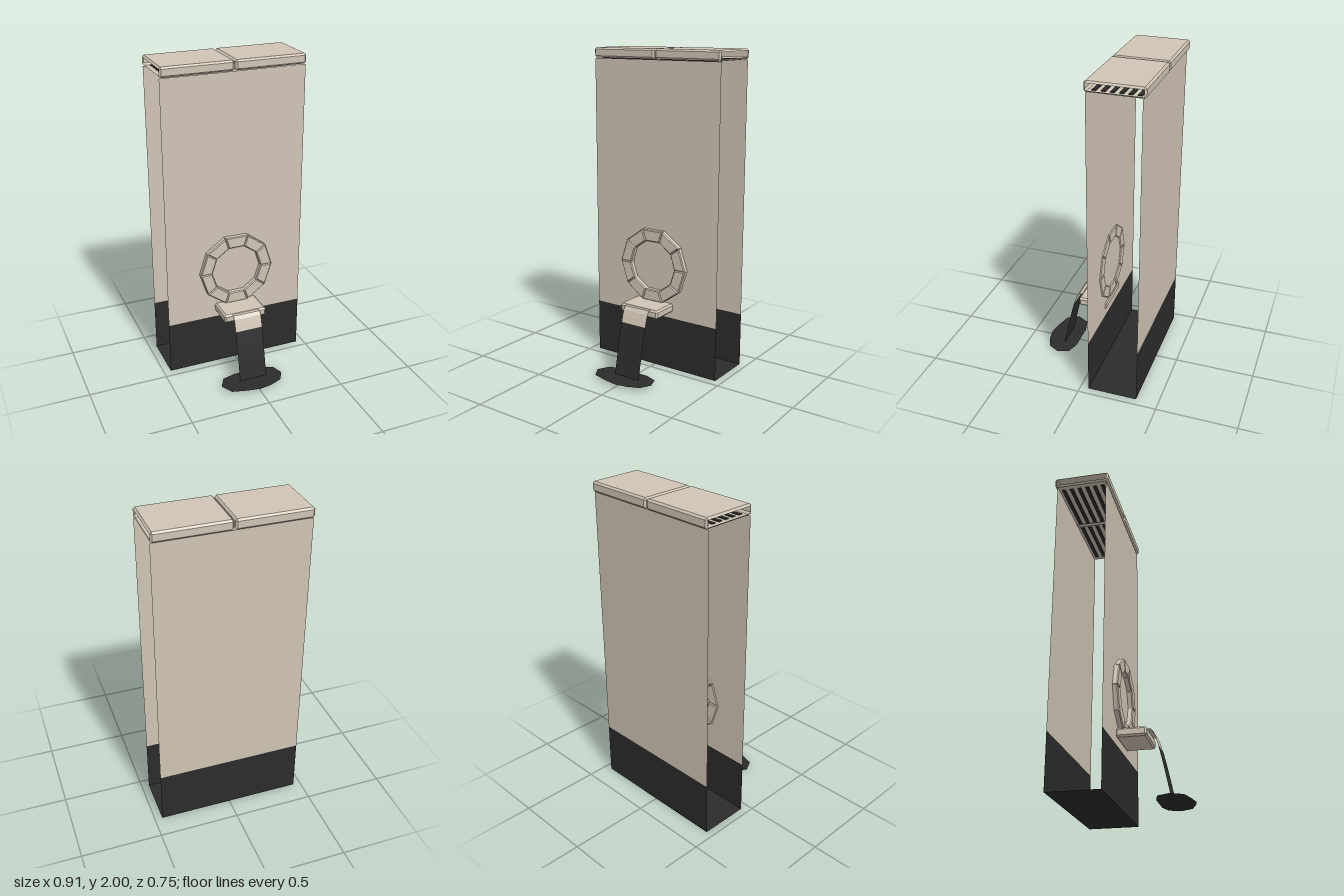
import * as THREE from 'three';

const beige = new THREE.MeshStandardMaterial({ color: 0xcfc4b4, side: THREE.DoubleSide, flatShading: true });
beige.name = 'warm beige';
const dark = new THREE.MeshStandardMaterial({ color: 0x2b2b2b, side: THREE.DoubleSide, flatShading: true });
dark.name = 'charcoal';

// Box with chamfered edges, built from loops along x; the +x end may be left open
function chamferBox(x0, x1, y0, y1, z0, z1, c, open = false) {
  const inner = [], full = [];
  const corners = [[y1, z0, -1, 1], [y1, z1, -1, -1], [y0, z1, 1, -1], [y0, z0, 1, 1]];
  corners.forEach(([y, z, sy, sz], i) => {
    const p = [y + sy * c, z], q = [y, z + sz * c];
    full.push(...(i % 2 ? [q, p] : [p, q]));
    inner.push([y + sy * c, z + sz * c], [y + sy * c, z + sz * c]);
  });
  const loops = [[x0, inner], [x0 + c, full], [x1 - c, full], [x1, inner]]
    .map(([x, loop]) => loop.map(([y, z]) => [x, y, z]));
  const pos = [];
  const tri = (a, b, d) => pos.push(...a, ...b, ...d);
  for (let k = 0; k < 3; k++) {
    for (let i = 0; i < 8; i++) {
      const j = (i + 1) % 8, a = loops[k], b = loops[k + 1];
      // skip the collapsed triangles at the inset corners
      if (a[i].join() !== a[j].join()) tri(a[i], a[j], b[j]);
      if (b[i].join() !== b[j].join()) tri(a[i], b[j], b[i]);
    }
  }
  const cap = (l, flip) => [[0, 2, 4], [0, 4, 6]].forEach(([a, b, d]) =>
    flip ? tri(l[a], l[d], l[b]) : tri(l[a], l[b], l[d]));
  cap(loops[0], true);
  if (!open) cap(loops[3], false);
  const g = new THREE.BufferGeometry();
  g.setAttribute('position', new THREE.Float32BufferAttribute(pos, 3));
  g.computeVertexNormals();
  return g;
}

// Ribbon of constant width swept through [y, z] points
function ribbon(halfWidth, pts) {
  const g = new THREE.PlaneGeometry(2 * halfWidth, 1, 1, pts.length - 1);
  const p = g.attributes.position;
  pts.forEach(([y, z], i) => {
    for (let k = 0; k < 2; k++) p.setXYZ(i * 2 + k, k ? halfWidth : -halfWidth, y, z);
  });
  g.computeVertexNormals();
  return g;
}

export function createModel() {
  const model = new THREE.Group();
  model.name = 'wallDispenser';
  const add = (name, geometry, material, parent = model) => {
    const m = new THREE.Mesh(geometry, material);
    m.name = name;
    parent.add(m);
    return m;
  };

  // Body: front and back sheets with dark bases, open at both sides
  const W = 0.453, zFront = -0.052, zBack = -0.362, split = 0.34, top = 1.935;
  add('frontPanel', ribbon(W, [[top, zFront], [split, zFront]]), beige);
  add('frontBase', ribbon(W, [[split, zFront], [0, zFront]]), dark);
  add('backPanel', ribbon(W, [[split, zBack], [top, zBack]]), beige);
  add('backBase', ribbon(W, [[0, zBack], [split, zBack]]), dark);
  add('floor', ribbon(W, [[0, zFront], [0, zBack]]), dark);

  // Two lids, open at their outer ends, with dark slats underneath
  for (const side of [0, 1]) {
    const lid = new THREE.Group();
    lid.name = side ? 'rightLid' : 'leftLid';
    lid.position.z = -0.21;
    lid.rotation.y = side * Math.PI;
    add('lidShell', chamferBox(0.003, 0.453, 1.938, 2, -0.17, 0.17, 0.011, true), beige, lid);
    for (let i = 0; i < 6; i++) {
      const slat = add('lidSlat', new THREE.BoxGeometry(0.39, 0.009, 0.024), dark, lid);
      slat.position.set(0.215, 1.9385, -0.125 + i * 0.05);
    }
    model.add(lid);
  }

  // Ten-sided ring of bevelled blocks
  const ring = new THREE.Group();
  ring.name = 'ring';
  ring.position.set(0, 0.667, -0.058);
  const step = Math.PI / 5, bevel = 0.006, rOut = 0.24, rIn = 0.163;
  const at = (r, a) => new THREE.Vector2(r * Math.cos(a), r * Math.sin(a));
  const gap = (r) => bevel / r;
  const ro = rOut - bevel, ri = rIn + bevel;
  const block = new THREE.Shape([
    at(ri, gap(ri)), at(ro, gap(ro)), at(ro, step - gap(ro)), at(ri, step - gap(ri)),
  ]);
  const blockGeometry = new THREE.ExtrudeGeometry(block, {
    depth: 0.026, bevelEnabled: true, bevelSize: bevel, bevelThickness: bevel, bevelSegments: 1,
  });
  blockGeometry.translate(0, 0, bevel);
  for (let i = 0; i < 10; i++) add('ringBlock', blockGeometry, beige, ring).rotation.z = i * step;
  model.add(ring);

  // Spout shelf
  add('spout', chamferBox(-0.14, 0.14, 0.383, 0.438, -0.058, 0.125, 0.011), beige);

  // Curved strip falling from the spout
  add('stripTop', ribbon(0.09, [[0.437, 0.12], [0.436, 0.14], [0.415, 0.156], [0.38, 0.168], [split, 0.18]]), beige);
  add('stripLower', ribbon(0.09, [[split, 0.18], [0.25, 0.202], [0.14, 0.226], [0.02, 0.251]]), dark);

  // Flat splash at the foot of the strip
  const outline = [[-0.22, 0.262], [-0.18, 0.188], [-0.09, 0.165], [0.09, 0.165], [0.167, 0.19], [0.192, 0.262],
    [0.155, 0.33], [0.075, 0.362], [0, 0.375], [-0.08, 0.362], [-0.18, 0.336]];
  const splash = new THREE.ShapeGeometry(new THREE.Shape(outline.map(([x, z]) => new THREE.Vector2(x, -z))));
  splash.rotateX(-Math.PI / 2);
  add('splash', splash, dark).position.y = 0.02;

  return model;
}
